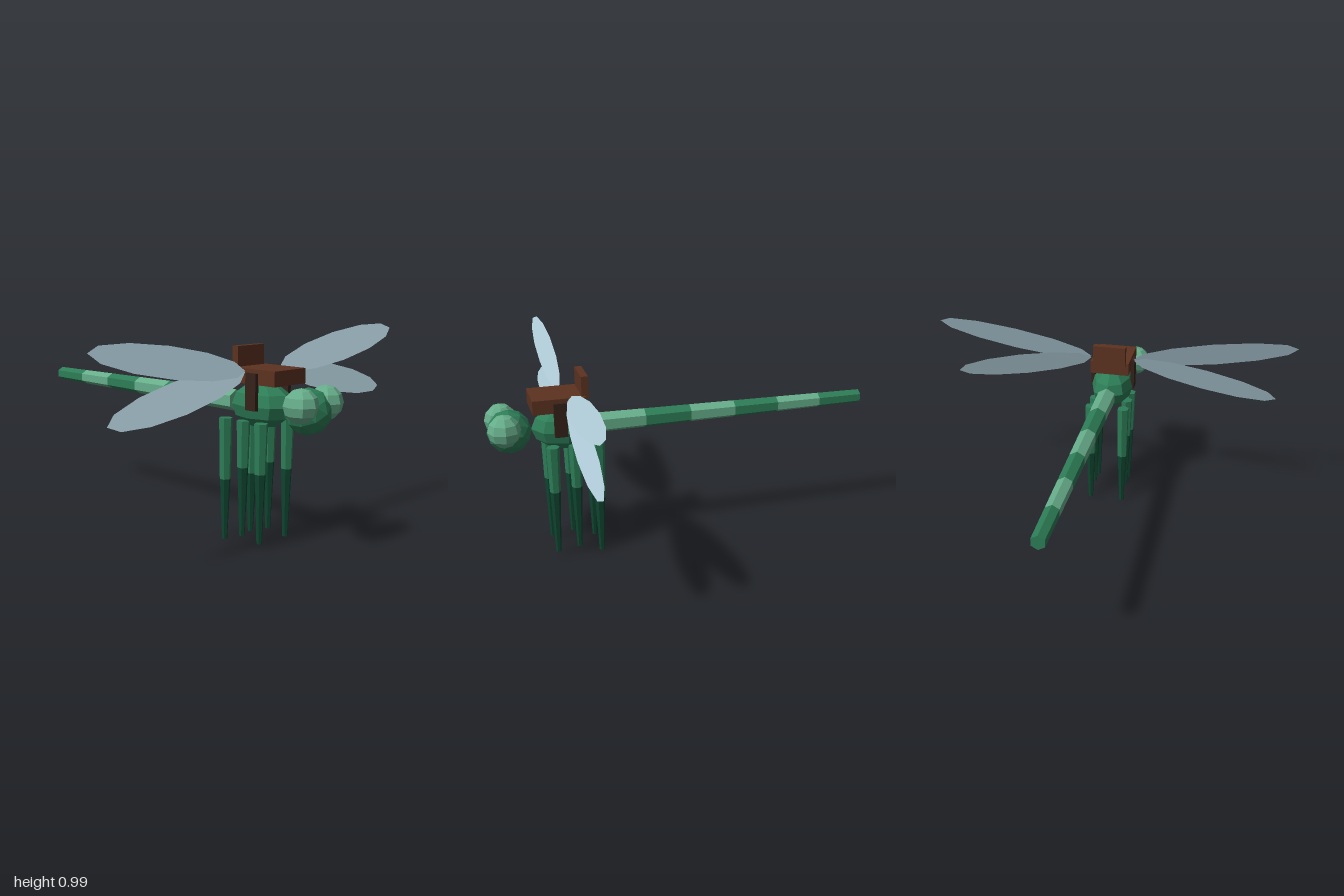
import * as THREE from 'three';

export function createModel() {
  const root = new THREE.Group();
  const mat = (name, color, side = THREE.FrontSide) => {
    const m = new THREE.MeshStandardMaterial({ color, flatShading: true, side });
    m.name = name;
    return m;
  };
  const green = mat('body green', 0x2d7d57);
  const light = mat('light green', 0x66ad8a);
  const dark = mat('dark green', 0x0f4430);
  const leather = mat('saddle brown', 0x5c3220);
  const strapBrown = mat('strap dark brown', 0x35221a);
  const wingBlue = mat('wing pale blue', 0xb5d2de, THREE.DoubleSide);

  const add = (name, geometry, material, x, y, z) => {
    const m = new THREE.Mesh(geometry, material);
    m.name = name;
    m.position.set(x, y, z);
    root.add(m);
    return m;
  };

  // Thorax and head
  add('thorax', new THREE.SphereGeometry(1, 8, 6), green, 0, 0.665, 0.6).scale.set(0.115, 0.11, 0.165);
  add('head', new THREE.IcosahedronGeometry(0.108, 1), green, 0, 0.665, 0.87);

  // Tail: six tapering segments in alternating greens
  const segments = 6, start = 0.435, length = 1.425 / segments;
  const radius = (i) => 0.052 - 0.0027 * i;
  for (let i = 0; i < segments; i++) {
    const g = new THREE.CylinderGeometry(radius(i), radius(i + 1), length, 6);
    g.rotateX(Math.PI / 2);
    add('tailSegment', g, i % 2 ? green : light, 0, 0.665, start - (i + 0.5) * length);
  }

  // Saddle
  add('saddleSeat', new THREE.BoxGeometry(0.212, 0.07, 0.255), leather, 0, 0.805, 0.637);
  add('saddleBackrest', new THREE.BoxGeometry(0.178, 0.11, 0.035), leather, 0, 0.88, 0.508);

  const legs = [
    { z: 0.677, knee: 0.36, foot: 0.03 },
    { z: 0.568, knee: 0.375, foot: 0.045 },
    { z: 0.455, knee: 0.3, foot: 0.005 },
  ];
  const wings = [
    { name: 'upperWing', x: 0.56, y: 0.9, a: 0.447, angle: 0.157 },
    { name: 'lowerWing', x: 0.515, y: 0.747, a: 0.403, angle: -0.192 },
  ];

  for (const s of [-1, 1]) {
    add('eye', new THREE.SphereGeometry(0.08, 8, 6), light, s * 0.085, 0.7, 0.9);
    add('saddleStrap', new THREE.BoxGeometry(0.02, 0.17, 0.062), strapBrown, s * 0.112, 0.737, 0.635);

    // Legs: green thigh, dark shin
    for (const { z, knee, foot } of legs) {
      add('upperLeg', new THREE.CylinderGeometry(0.033, 0.027, 0.595 - knee, 6), green,
        s * 0.091, (0.595 + knee) / 2, z);
      add('lowerLeg', new THREE.CylinderGeometry(0.026, 0.013, knee - foot, 6), dark,
        s * 0.091, (knee + foot) / 2, z);
    }

    // Wings: flat ellipses, pitched about their long axis
    for (const w of wings) {
      const g = new THREE.CircleGeometry(1, 12);
      g.scale(w.a, 0.075, 1);
      g.rotateX(-0.4);
      g.rotateZ(s * w.angle);
      add(w.name, g, wingBlue, s * w.x, w.y, 0.6);
    }
  }
  return root;
}
